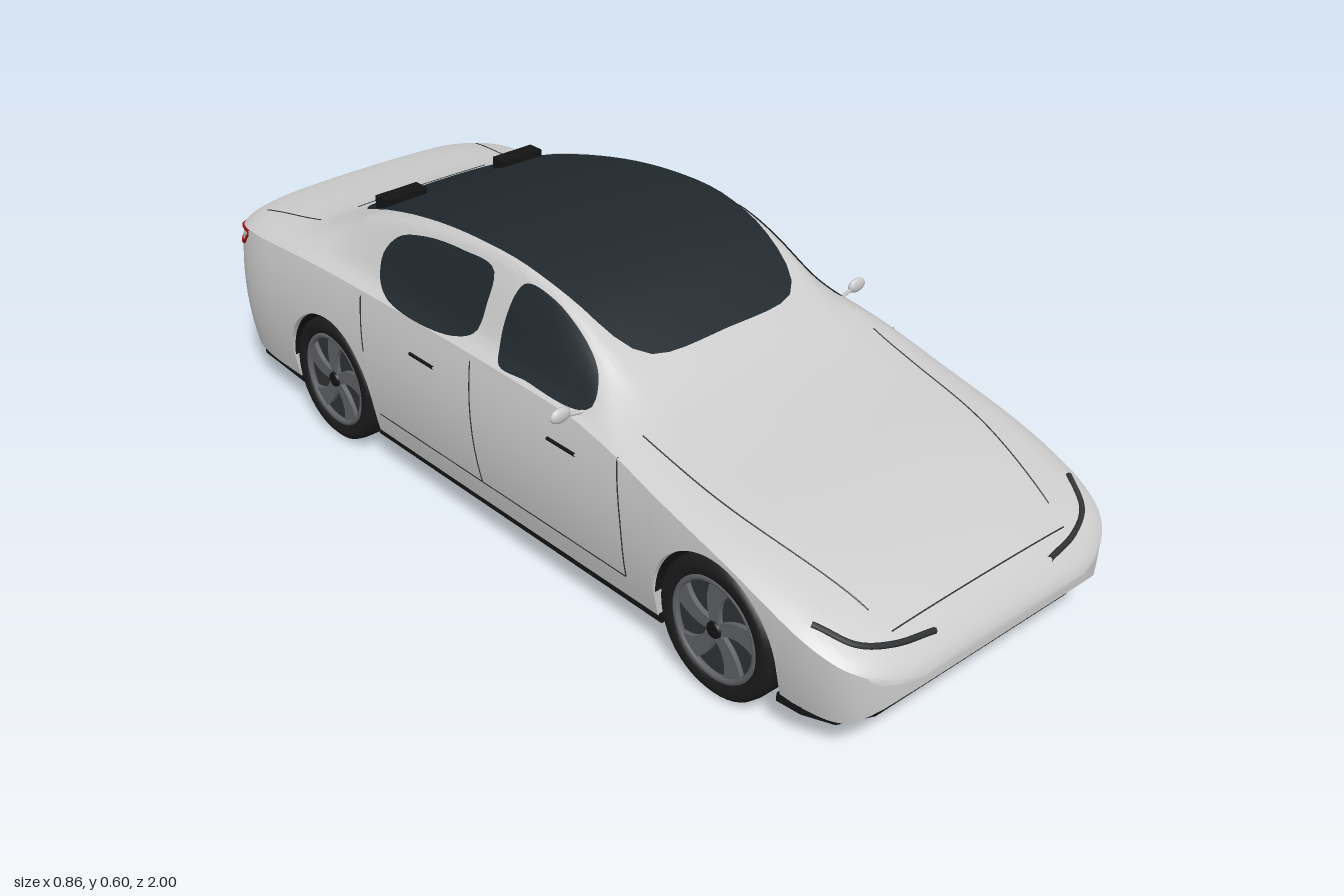
import * as THREE from 'three';
import { toCreasedNormals } from 'three/addons/utils/BufferGeometryUtils.js';

const mat = (color) => new THREE.MeshStandardMaterial({ color, side: THREE.DoubleSide });
const paint = new THREE.MeshStandardMaterial({ color: 0xcccccc });
const glass = mat(0x20282d), black = mat(0x141414), rubber = mat(0x1b1b1b);
const dark = mat(0x303234), alloy = mat(0x606266), red = mat(0xa01010);

const WHEEL_Z = [0.645, -0.57], WHEEL_R = 0.145, ARCH_R = 0.157;

// Smooth curve through [z, value] pairs, listed front to rear
function profile(pts) {
  const slope = (i) => {
    const a = pts[Math.max(i - 1, 0)], b = pts[Math.min(i + 1, pts.length - 1)];
    return (b[1] - a[1]) / (b[0] - a[0]);
  };
  return (z) => {
    let i = 0;
    while (i < pts.length - 2 && z < pts[i + 1][0]) i++;
    const [z0, v0] = pts[i], [z1, v1] = pts[i + 1], h = z1 - z0;
    const t = THREE.MathUtils.clamp((z - z0) / h, 0, 1), t2 = t * t, t3 = t2 * t;
    return (2 * t3 - 3 * t2 + 1) * v0 + (t3 - 2 * t2 + t) * h * slope(i)
      + (3 * t2 - 2 * t3) * v1 + (t3 - t2) * h * slope(i + 1);
  };
}

// Body lines along the length: centre top, shoulder, half width, lower edge
const topLine = profile([[1, 0.18], [0.985, 0.2], [0.95, 0.23], [0.85, 0.285], [0.7, 0.337], [0.5, 0.383], [0.36, 0.425],
  [0.25, 0.488], [0.12, 0.558], [0, 0.593], [-0.1, 0.6], [-0.25, 0.588], [-0.4, 0.56], [-0.55, 0.518], [-0.65, 0.48],
  [-0.75, 0.446], [-0.9, 0.426], [-0.98, 0.412], [-1, 0.4]]);
const shoulder = profile([[1, 0.17], [0.95, 0.205], [0.85, 0.25], [0.7, 0.302], [0.5, 0.352], [0.35, 0.39], [0.2, 0.41],
  [-0.5, 0.41], [-0.9, 0.39], [-1, 0.37]]);
const halfWidth = profile([[1, 0.23], [0.985, 0.29], [0.95, 0.345], [0.9, 0.374], [0.82, 0.388], [0.6, 0.392],
  [-0.8, 0.392], [-0.9, 0.383], [-0.96, 0.36], [-0.985, 0.335], [-1, 0.295]]);
const sill = profile([[1, 0.15], [0.97, 0.115], [0.93, 0.087], [0.85, 0.085], [-0.9, 0.085], [-0.96, 0.095], [-1, 0.14]]);

function lowerEdge(z) {
  for (const c of WHEEL_Z) {
    const d = Math.abs(z - c);
    if (d <= ARCH_R) return WHEEL_R + Math.sqrt(ARCH_R ** 2 - d * d);
  }
  return sill(z);
}

// Upper half-section as [width share, height share], for bonnet/boot and for cabin
const FLAT = [[1, 0], [0.97, 0.2], [0.93, 0.4], [0.86, 0.6], [0.76, 0.75], [0.65, 0.86], [0.45, 0.94], [0.22, 0.985], [0, 1]];
const CABIN = [[1, 0], [0.93, 0.1], [0.885, 0.25], [0.82, 0.56], [0.76, 0.82], [0.71, 0.95], [0.6, 0.975], [0.3, 0.995], [0, 1]];

// Half cross-section at z, from lower edge up to the centre line
function halfSection(z) {
  const W = halfWidth(z), L = lowerEdge(z), B = shoulder(z), T = topLine(z);
  const sideAt = (y) => W * (1 - 0.05 * ((y - 0.25) / 0.16) ** 2);
  const pts = [];
  for (let i = 0; i < 10; i++) {
    const y = L + (B - L) * i / 10;
    pts.push(new THREE.Vector2(sideAt(y), y));
  }
  const c = THREE.MathUtils.smoothstep(T - B, 0.03, 0.11), ws = sideAt(B);
  const upper = FLAT.map(([x, h], i) => new THREE.Vector2(
    ws * THREE.MathUtils.lerp(x, CABIN[i][0], c), B + (T - B) * THREE.MathUtils.lerp(h, CABIN[i][1], c)));
  return pts.concat(new THREE.SplineCurve(upper).getPoints(32));
}

// Look up a body surface point from above (x, z) or from the side (y, z)
function lookUp(z, key, value, other) {
  const s = halfSection(z);
  for (let i = s.length - 1; i > 0; i--) {
    const a = s[i - 1], b = s[i];
    if ((a[key] - value) * (b[key] - value) <= 0 && a[key] !== b[key])
      return a[other] + (b[other] - a[other]) * (value - a[key]) / (b[key] - a[key]);
  }
  return key === 'x' ? shoulder(z) : s[0].x;
}
const onTop = (x, z, lift) => new THREE.Vector3(x, lookUp(z, 'x', Math.abs(x), 'y') + lift, z);
const onSide = (y, z, lift, s) => new THREE.Vector3(s * (lookUp(z, 'y', y, 'x') + lift), y, z);

function meshFrom(pos, idx) {
  const g = new THREE.BufferGeometry();
  g.setAttribute('position', new THREE.Float32BufferAttribute(pos, 3));
  g.setIndex(idx);
  g.computeVertexNormals();
  return g;
}

function bodyGeometry() {
  let zs = [];
  for (let i = 0; i <= 110; i++) zs.push(Math.cos(Math.PI * i / 110) * 0.4 + (1 - 2 * i / 110) * 0.6);
  for (const c of WHEEL_Z) {
    for (let k = 0; k <= 24; k++) zs.push(c + ARCH_R * Math.cos(Math.PI * k / 24) * 0.99999);
    zs.push(c + ARCH_R + 0.0006, c - ARCH_R - 0.0006);
  }
  zs = zs.sort((a, b) => b - a).filter((z, i, all) => i === 0 || all[i - 1] - z > 1e-4);
  const pos = [], idx = [];
  let n = 0;
  for (const z of zs) {
    const h = halfSection(z);
    const ring = [...h, ...h.slice(0, -1).reverse().map((p) => new THREE.Vector2(-p.x, p.y))];
    n = ring.length;
    ring.forEach((p) => pos.push(p.x, p.y, z));
  }
  for (let j = 0; j < zs.length - 1; j++) for (let i = 0; i < n; i++) {
    const a = j * n + i, b = j * n + (i + 1) % n;
    idx.push(a, a + n, b, b, a + n, b + n);
  }
  // nose and tail caps
  const last = (zs.length - 1) * n, c = zs.length * n;
  pos.push(0, 0.165, 1, 0, 0.27, -1);
  for (let i = 0; i < n; i++) {
    const k = (i + 1) % n;
    idx.push(c, i, k, c + 1, last + k, last + i);
  }
  return toCreasedNormals(meshFrom(pos, idx), 0.7);
}

// Filled outline draped on the body
function patch(outline, place) {
  const curve = new THREE.CatmullRomCurve3(outline.map(([a, b]) => new THREE.Vector3(a, b, 0)), true, 'centripetal');
  const rim = curve.getSpacedPoints(72).slice(0, 72), R = 20, pos = [], idx = [];
  const mid = rim.reduce((m, p) => m.add(p), new THREE.Vector3()).divideScalar(72);
  for (let r = 0; r <= R; r++) for (let i = 0; i < 72; i++) {
    const p = mid.clone().lerp(rim[i], Math.max(r / R, 0.001));
    pos.push(...place(p.x, p.y).toArray());
    if (r < R) {
      const a = r * 72 + i, b = r * 72 + (i + 1) % 72;
      idx.push(a, a + 72, b, b, a + 72, b + 72);
    }
  }
  return meshFrom(pos, idx);
}

// Thin strip draped along a path
function strip(path, radius, place) {
  const line = new THREE.CatmullRomCurve3(path.map(([a, b]) => new THREE.Vector3(a, b, 0)), false, 'centripetal');
  const pts = line.getSpacedPoints(24).map((p) => place(p.x, p.y));
  return new THREE.TubeGeometry(new THREE.CatmullRomCurve3(pts), 40, radius, 6);
}

// Wheel with its outer face towards +x
function makeWheel() {
  const g = new THREE.Group();
  const part = (name, geo, m, x = 0) => {
    const o = new THREE.Mesh(geo, m);
    o.name = name; o.position.x = x; g.add(o);
    return o;
  };
  const tyre = [[0.1, -0.05], [0.132, -0.05], [0.142, -0.042], [0.145, -0.025], [0.145, 0.025], [0.142, 0.042], [0.132, 0.05],
    [0.112, 0.049], [0.106, 0.04]].map(([r, y]) => new THREE.Vector2(r, y));
  part('tyre', new THREE.LatheGeometry(tyre, 48).rotateZ(-Math.PI / 2), rubber);
  part('rimBack', new THREE.CylinderGeometry(0.11, 0.11, 0.07, 40).rotateZ(Math.PI / 2), dark, -0.005);
  part('rimRing', new THREE.TorusGeometry(0.103, 0.007, 8, 48).rotateY(Math.PI / 2), alloy, 0.04);
  const blade = new THREE.Shape();
  blade.moveTo(-0.012, 0.015);
  blade.quadraticCurveTo(-0.03, 0.06, -0.012, 0.103);
  blade.lineTo(0.04, 0.095);
  blade.quadraticCurveTo(0.0, 0.065, 0.012, 0.015);
  const bladeGeo = new THREE.ExtrudeGeometry(blade, { depth: 0.01, bevelEnabled: false }).rotateY(Math.PI / 2);
  for (let i = 0; i < 5; i++) part('spoke', bladeGeo, alloy, 0.032).rotation.x = i * Math.PI * 2 / 5;
  part('hub', new THREE.CylinderGeometry(0.016, 0.02, 0.014, 24).rotateZ(-Math.PI / 2), black, 0.04);
  return g;
}

export function createModel() {
  const car = new THREE.Group();
  car.name = 'saloonCar';
  const add = (name, geo, m, x = 0, y = 0, z = 0) => {
    const o = new THREE.Mesh(geo, m);
    o.name = name; o.position.set(x, y, z); car.add(o);
    return o;
  };
  add('body', bodyGeometry(), paint);

  // Floor with wheel notches
  const half = [[0.27, 0.94], [0.34, 0.91], [0.365, 0.85]];
  for (const c of WHEEL_Z) half.push([0.37, c + 0.15], [0.27, c + 0.15], [0.27, c - 0.15], [0.37, c - 0.15]);
  half.push([0.36, -0.9], [0.32, -0.95]);
  const floor = new THREE.Shape([...half, ...half.map(([x, z]) => [-x, z]).reverse()].map((p) => new THREE.Vector2(...p)));
  add('floor', new THREE.ExtrudeGeometry(floor, { depth: 0.018, bevelEnabled: false }).rotateX(Math.PI / 2), black, 0, 0.088);

  // Glass roof running from windscreen to rear window
  const edge = [[0.19, 0.262], [0.23, 0.215], [0.252, 0.12], [0.262, 0], [0.26, -0.18], [0.243, -0.42], [0.222, -0.6], [0.2, -0.67], [0.13, -0.7]];
  const roof = [[0, 0.275], ...edge, [0, -0.705], ...edge.map(([x, z]) => [-x, z]).reverse()];
  add('glassRoof', patch(roof, (x, z) => onTop(x, z, 0.004)), glass);

  // Bonnet and boot shut lines
  const top = (lift) => (x, z) => onTop(x, z, lift);
  add('bonnetFrontLine', strip([[-0.24, 0.935], [0.24, 0.935]], 0.0015, top(0)), dark);
  add('bootFrontLine', strip([[-0.18, -0.735], [0.18, -0.735]], 0.0015, top(0)), dark);

  const frontWindow = [[0.268, 0.428], [0.245, 0.462], [0.17, 0.52], [0.08, 0.56], [0.005, 0.567], [-0.012, 0.54], [-0.015, 0.46],
    [0.005, 0.424], [0.1, 0.419], [0.25, 0.418]];
  const rearWindow = [[-0.08, 0.5], [-0.088, 0.562], [-0.2, 0.567], [-0.33, 0.55], [-0.415, 0.52], [-0.44, 0.48], [-0.42, 0.438],
    [-0.37, 0.42], [-0.13, 0.424], [-0.087, 0.445]];
  const seams = [[[0.38, 0.385], [0.405, 0.25], [0.41, 0.14]], [[-0.065, 0.4], [-0.045, 0.25], [-0.03, 0.14]],
    [[-0.445, 0.4], [-0.425, 0.28]], [[0.41, 0.137], [-0.39, 0.137]]];

  for (const s of [1, -1]) {
    const side = s > 0 ? 'left' : 'right';
    const flank = (lift) => (z, y) => onSide(y, z, lift, s);
    add(side + 'FrontWindow', patch(frontWindow, flank(0.004)), glass);
    add(side + 'RearWindow', patch(rearWindow, flank(0.004)), glass);
    seams.forEach((p) => add(side + 'DoorSeam', strip(p, 0.0015, flank(0)), dark));
    for (const z of [0.27, -0.175]) add(side + 'DoorHandle', strip([[z, 0.342], [z - 0.082, 0.342]], 0.004, flank(0.001)), black);
    add(side + 'BonnetLine', strip([[s * 0.315, 0.38], [s * 0.3, 0.65], [s * 0.25, 0.89]], 0.0015, top(0)), dark);
    add(side + 'BootLine', strip([[s * 0.27, -0.75], [s * 0.3, -0.93]], 0.0015, top(0)), dark);
    add(side + 'Headlight', strip([[s * 0.355, 0.855], [s * 0.315, 0.92], [s * 0.25, 0.952], [s * 0.16, 0.967]], 0.006, top(0.001)), dark);
    add(side + 'TailLightUpper', strip([[-0.9, 0.385], [-0.94, 0.38], [-0.997, 0.368]], 0.004, flank(0)), red);
    add(side + 'TailLightLower', strip([[-0.905, 0.38], [-0.94, 0.345], [-0.997, 0.343]], 0.004, flank(0)), red);
    add(side + 'TailLightRear', new THREE.BoxGeometry(0.07, 0.007, 0.006), red, s * 0.26, 0.366, -0.999);

    // Door mirror
    add(side + 'Mirror', new THREE.SphereGeometry(1, 12, 8).scale(0.025, 0.016, 0.009), paint, s * 0.404, 0.426, 0.25);
    const stalk = new THREE.LineCurve3(new THREE.Vector3(s * 0.345, 0.415, 0.255), new THREE.Vector3(s * 0.39, 0.421, 0.25));
    add(side + 'MirrorStalk', new THREE.TubeGeometry(stalk, 1, 0.004, 6), paint);

    // Roof pads above the rear window
    add(side + 'RoofPad', new THREE.BoxGeometry(0.11, 0.03, 0.04), black, s * 0.162, 0.515, -0.585);

    for (const z of WHEEL_Z) {
      const wheel = makeWheel();
      wheel.name = side + (z > 0 ? 'FrontWheel' : 'RearWheel');
      wheel.position.set(s * 0.337, WHEEL_R, z);
      if (s < 0) wheel.rotation.y = Math.PI;
      car.add(wheel);
    }
  }

  // Wheel wells: arch liner and inner wall
  for (const z of WHEEL_Z) {
    const half = (length, open) => new THREE.CylinderGeometry(0.155, 0.155, length, 32, 1, open, 0, Math.PI).rotateZ(Math.PI / 2);
    add('archLiner', half(0.765, true), black, 0, WHEEL_R, z);
    add('wheelWellWall', half(0.54, false), black, 0, WHEEL_R, z);
  }

  // Rear diffuser
  add('diffuserBar', new THREE.BoxGeometry(0.5, 0.012, 0.03), black, 0, 0.098, -0.96);
  for (let i = 0; i < 6; i++) add('diffuserFin', new THREE.BoxGeometry(0.008, 0.045, 0.07), black, -0.225 + i * 0.09, 0.096, -0.94);
  return car;
}
